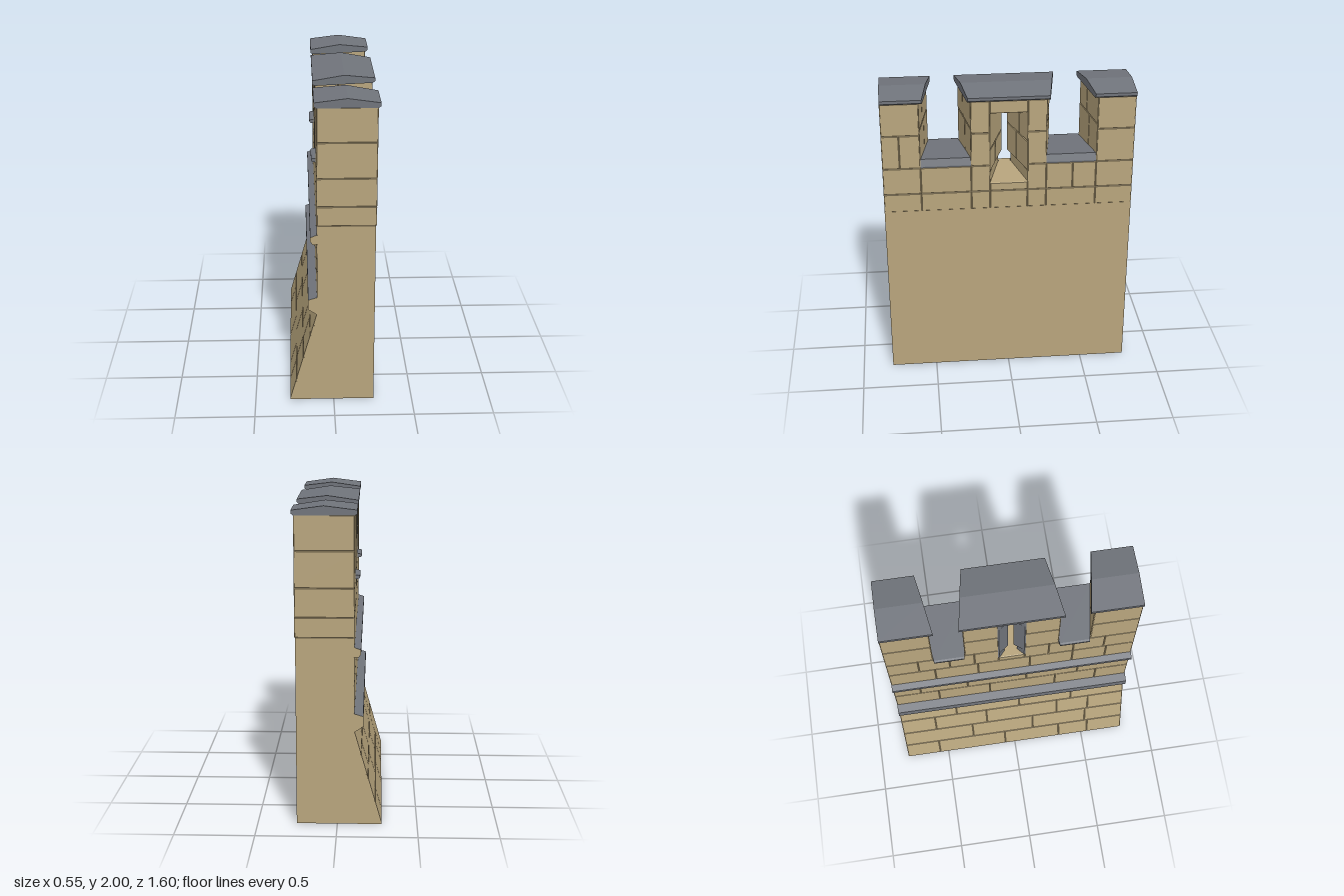
import * as THREE from 'three';
import { mergeGeometries } from 'three/addons/utils/BufferGeometryUtils.js';

const D = 0.006;                       // joint depth
const IN = 0.26, OUT = -0.105, END = 0.8;
const sand = new THREE.MeshStandardMaterial({ color: 0xb8a57d });
const slate = new THREE.MeshStandardMaterial({ color: 0x70747b });

// vertical prism over a plan outline of [x, z] points
function prism(pts, y0, y1) {
  const shape = new THREE.Shape(pts.map(([x, z]) => new THREE.Vector2(x, -z)));
  const g = new THREE.ExtrudeGeometry(shape, { depth: y1 - y0, bevelEnabled: false });
  return g.rotateX(-Math.PI / 2).translate(0, y0, 0);
}

// [x, y] profile run along z, its ends placed by zMin(x) and zMax(x)
function run(pts, zMin, zMax) {
  const shape = new THREE.Shape(pts.map(p => new THREE.Vector2(...p)));
  const g = new THREE.ExtrudeGeometry(shape, { depth: 1, bevelEnabled: false });
  const p = g.attributes.position;
  for (let i = 0; i < p.count; i++) {
    const x = p.getX(i);
    p.setZ(i, THREE.MathUtils.lerp(zMin(x), zMax(x), p.getZ(i)));
  }
  g.computeVertexNormals();
  return g;
}

// facing stone with chamfered edges; corners anticlockwise from bottom left
function stone(corners) {
  const c = corners.map(p => new THREE.Vector3(...p));
  const u = c[1].clone().sub(c[0]).normalize();
  const v = c[3].clone().sub(c[0]).normalize();
  const n = u.clone().cross(v).normalize();
  const signs = [[1, 1], [-1, 1], [-1, -1], [1, -1]], inset = 0.004;
  const top = c.map((p, i) => p.clone().addScaledVector(u, signs[i][0] * inset).addScaledVector(v, signs[i][1] * inset));
  const base = c.map(p => p.clone().addScaledVector(n, -D));
  const out = [];
  const quad = (a, b, d, e) => [a, b, d, a, d, e].forEach(p => out.push(p.x, p.y, p.z));
  quad(...top);
  for (let i = 0; i < 4; i++) {
    const j = (i + 1) % 4;
    quad(base[i], base[j], top[j], top[i]);
  }
  const g = new THREE.BufferGeometry();
  g.setAttribute('position', new THREE.Float32BufferAttribute(out, 3));
  g.computeVertexNormals();
  return g;
}

// course of stones from plan point p to q, split at the given fractions
function course(p, q, y0, y1, splits = []) {
  const t = [0, ...splits, 1];
  const at = (k, y) => [p[0] + (q[0] - p[0]) * k, y, p[1] + (q[1] - p[1]) * k];
  return t.slice(1).map((b, i) => stone([at(t[i], y0), at(b, y0), at(b, y1), at(t[i], y1)]));
}

// the same course on the +z side (s = 1) or mirrored to -z (s = -1)
const sided = (s, p, q, y0, y1, splits) => s > 0
  ? course(p, q, y0, y1, splits)
  : course([q[0], -q[1]], [p[0], -p[1]], y0, y1, splits);

const outerX = y => y < 0.61 ? -0.28 + 0.175 * y / 0.61 : OUT;
const outerRow = (y0, y1, zs) => zs.slice(1).map((b, i) => stone([
  [outerX(y0), y0, zs[i]], [outerX(y0), y0, b], [outerX(y1 - 1e-6), y1, b], [outerX(y1 - 1e-6), y1, zs[i]]]));
const innerRow = (y0, y1, zs) => zs.slice(1).flatMap((b, i) => course([IN, zs[i]], [IN, b], y0, y1));

export function createModel() {
  const group = new THREE.Group();
  const add = (name, geos, mat) => {
    const geo = Array.isArray(geos) ? mergeGeometries(geos.map(g => {
      const c = g.index ? g.toNonIndexed() : g;
      c.deleteAttribute('uv');
      c.clearGroups();
      return c;
    })) : geos;
    const mesh = new THREE.Mesh(geo, mat);
    mesh.name = name;
    group.add(mesh);
  };
  const ci = IN - D, co = OUT + D, ce = END - D;      // core faces behind the stones
  const flat = z => () => z;

  // wall core with sloping foot
  add('wallBody', [
    run([[-0.274, 0], [0.255, 0], [0.255, 1.2], [co, 1.2], [co, 0.61]], flat(-END), flat(END)),
    prism([[co, -ce], [ci, -ce], [ci, ce], [co, ce]], 1.2, 1.38),
  ], sand);

  // parapet core and the slate surround of the arrow slit
  const slit = [[1.38, 1.46, 0.04], [1.46, 1.86, 0.018], [1.86, 1.945, 0]];
  const core = [prism([[-0.06, -0.13], [ci, -0.13], [ci, 0.13], [-0.06, 0.13]], 1.86, 1.945)];
  const frame = [];
  for (const s of [1, -1]) {
    const m = pts => pts.map(([x, z]) => [x, z * s]);
    core.push(prism(m([[co, 0.2], [ci, 0.2], [ci, ce], [co, ce]]), 1.38, 1.505));
    core.push(prism(m([[co, 0.506], [ci, 0.566], [ci, ce], [co, ce]]), 1.505, 1.945));
    for (const [y0, y1, w] of slit) {
      core.push(prism(m([[ci, 0.126], [ci, 0.234], [co, 0.294], [co, 0.085], [-0.06, w + D]]), y0, y1));
      frame.push(prism(m([[OUT, 0.08], [OUT, 0.088], [-0.06, w + 0.012], [-0.06, w]]), y0, y1));
    }
  }
  add('parapetCore', core, sand);
  add('arrowSlitFrame', frame, slate);

  // stones of the outer face
  const outer = [
    ...[[-0.56, -0.07, 0.33, 0.545], [-0.3, 0.14, 0.525], [-0.56, -0.19, 0.32, 0.545], [-0.4, 0.05, 0.42]]
      .flatMap((z, i) => outerRow(i * 0.1525, (i + 1) * 0.1525, [-END, ...z, END])),
    ...outerRow(0.72, 0.9, [-END, -0.5, -0.15, 0.3, 0.58, END]),
    ...outerRow(0.9, 1.08, [-END, -0.62, -0.3, 0.1, 0.45, END]),
    ...outerRow(1.14, 1.325, [-END, -0.5, -0.22, 0.12, 0.4, 0.62, END]),
    ...outerRow(1.325, 1.38, [-0.085, 0.085]),
    ...outerRow(1.325, 1.505, [-END, -0.6, -0.4, -0.24, -0.085]),
    ...outerRow(1.325, 1.505, [0.085, 0.24, 0.4, 0.6, END]),
  ];
  for (const [y0, y1] of [[1.505, 1.73], [1.73, 1.945]])
    for (const z of [[-END, -0.5], [-0.3, -0.085], [0.085, 0.3], [0.5, END]]) outer.push(...outerRow(y0, y1, z));
  add('outerStones', outer, sand);

  // stones of the inner face
  const inner = [
    ...innerRow(1.2, 1.325, [END, 0.56, 0.24, 0.12, -0.12, -0.24, -0.56, -END]),
    ...innerRow(1.325, 1.505, [END, 0.56, 0.24, 0.12]),
    ...innerRow(1.325, 1.38, [0.12, -0.12]),
    ...innerRow(1.325, 1.505, [-0.12, -0.24, -0.41, -0.56, -END]),
    ...innerRow(1.505, 1.73, [END, 0.69, 0.56]),
    ...innerRow(1.73, 1.945, [END, 0.56]),
    ...innerRow(1.86, 1.945, [0.12, -0.12]),
  ];
  for (const [y0, y1] of [[1.505, 1.73], [1.73, 1.945]])
    for (const z of [[0.24, 0.12], [-0.12, -0.24], [-0.56, -END]])
      if (z[0] !== 0.56) inner.push(...innerRow(y0, y1, z));
  add('innerStones', inner, sand);

  // stones of the wall ends, crenel sides and arrow slit sides
  const ends = [], reveals = [];
  for (const s of [1, -1]) {
    for (const [y0, y1] of [[1.2, 1.325], [1.325, 1.505], [1.505, 1.73], [1.73, 1.945]])
      ends.push(...sided(s, [OUT, END], [IN, END], y0, y1));
    for (const [y0, y1, k] of [[1.505, 1.76, 0.55], [1.76, 1.945, 0.4]]) {
      reveals.push(...sided(s, [IN, 0.56], [OUT, 0.5], y0, y1, [k]));
      reveals.push(...sided(s, [OUT, 0.3], [IN, 0.24], y0, y1, [k]));
    }
    const mid = s > 0 ? 1.61 : 1.66;
    for (const [y0, y1, w, k] of [[1.38, 1.46, 0.04, 0.6], [1.46, mid, 0.018, 0.45], [mid, 1.86, 0.018, 0.6]])
      reveals.push(...sided(s, [IN, 0.12], [-0.06, w], y0, y1, [k]));
  }
  add('endStones', ends, sand);
  add('revealStones', reveals, sand);

  // string courses, slate with sand-coloured ends
  const lower = [[-0.095, 0.6], [-0.108, 0.605], [-0.16, 0.64], [-0.16, 0.705], [-0.105, 0.722], [-0.095, 0.722]];
  const upper = [[-0.095, 1.08], [-0.13, 1.08], [-0.145, 1.1], [-0.145, 1.127], [-0.105, 1.142], [-0.095, 1.142]];
  add('lowerStringCourse', run(lower, flat(-END), flat(END)), [sand, slate]);
  add('upperStringCourse', run(upper, flat(-END), flat(END)), [sand, slate]);

  // crenel sills, narrowing towards the outside
  const sill = [[-0.12, 1.505], [IN, 1.505], [IN, 1.515], [0.245, 1.56], [-0.12, 1.53], [-0.133, 1.525], [-0.133, 1.512]];
  const taper = x => (IN - x) / (IN - OUT) * 0.06;
  const lo = x => 0.24 + taper(x), hi = x => 0.56 - taper(x);
  add('leftSill', run(sill, lo, hi), slate);
  add('rightSill', run(sill, x => -hi(x), x => -lo(x)), slate);

  // ridged merlon caps
  const cap = [[-0.105, 1.942], [-0.12, 1.952], [-0.12, 1.975], [0.08, 2], [0.275, 1.973], [0.275, 1.953], [0.26, 1.942]];
  const flare = x => (0.275 - x) / 0.395 * 0.065;
  const edge = x => 0.54 - flare(x), half = x => 0.257 + flare(x);
  add('middleCap', run(cap, x => -half(x), half), slate);
  add('leftCap', run(cap, edge, flat(END)), slate);
  add('rightCap', run(cap, flat(-END), x => -edge(x)), slate);
  return group;
}
